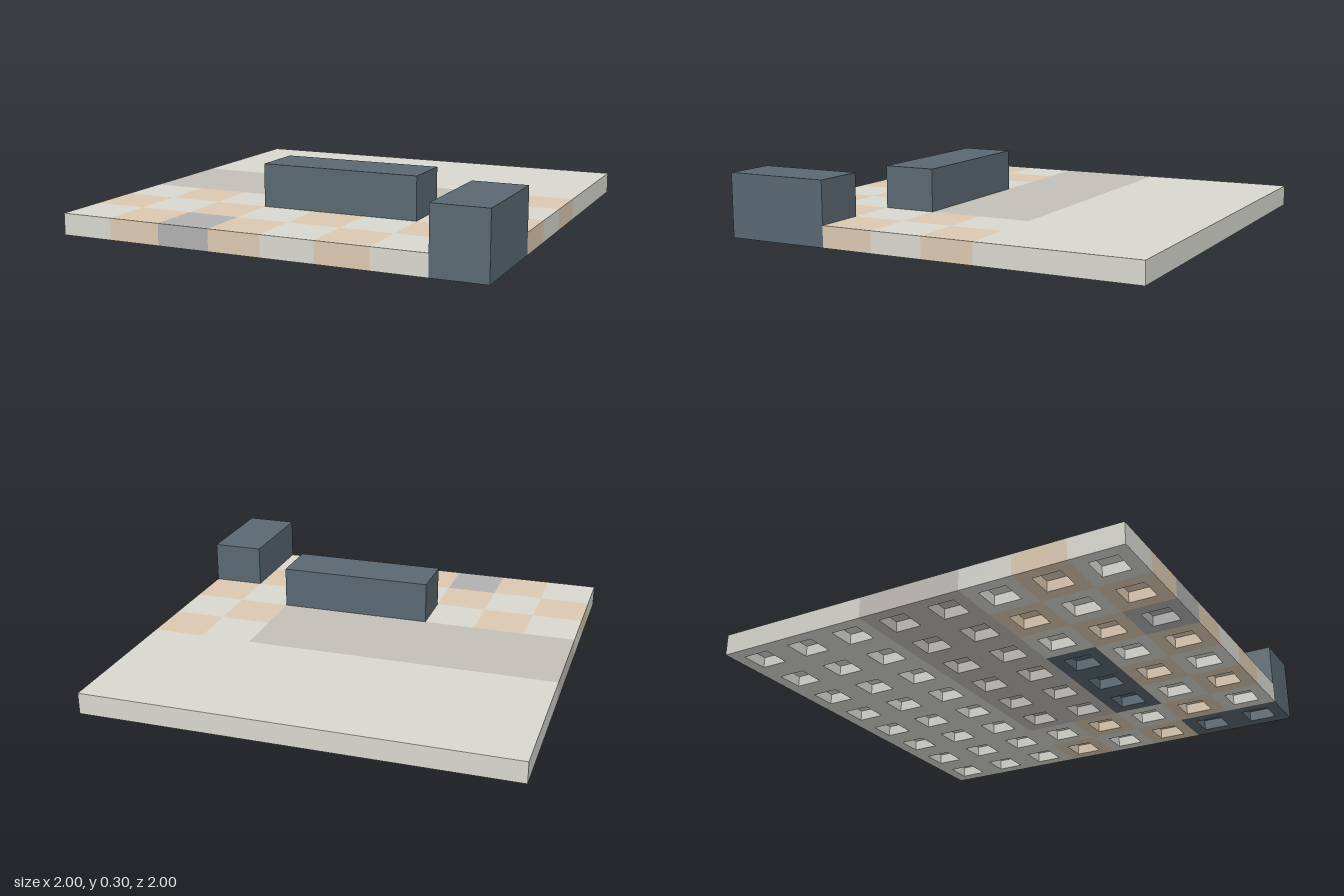
import * as THREE from 'three';
import { mergeGeometries } from 'three/addons/utils/BufferGeometryUtils.js';

const CELL = 0.25, PLATE = 0.1, WALL = 0.3, PIT = 0.13, PIT_DEPTH = 0.05;

const material = (color) => new THREE.MeshStandardMaterial({ color, roughness: 0.9 });

// Box standing on y = 0 without its bottom; inverted, it is a recess seen from inside
function openBox(w, h, d, x, z, inverted = false) {
  const box = new THREE.BoxGeometry(w, h, d).translate(x, h / 2, z);
  const index = Array.from(box.index.array);
  index.splice(18, 6);
  if (inverted) index.reverse();
  box.setIndex(index);
  const flat = box.toNonIndexed();
  flat.computeVertexNormals();
  return flat;
}

// Rectangular block of w x d cells with a square recess under every cell
function brick(col, row, w, d, height) {
  const x0 = -1 + col * CELL, z0 = -1 + row * CELL;
  const width = w * CELL, depth = d * CELL;
  const square = (path, x, y, sx, sy) => {
    path.moveTo(x, y);
    path.lineTo(x + sx, y);
    path.lineTo(x + sx, y + sy);
    path.lineTo(x, y + sy);
    path.closePath();
    return path;
  };
  const underside = square(new THREE.Shape(), x0, z0, width, depth);
  const parts = [openBox(width, height, depth, x0 + width / 2, z0 + depth / 2)];
  for (let i = 0; i < w; i++) {
    for (let j = 0; j < d; j++) {
      const cx = x0 + (i + 0.5) * CELL, cz = z0 + (j + 0.5) * CELL;
      underside.holes.push(square(new THREE.Path(), cx - PIT / 2, cz - PIT / 2, PIT, PIT));
      parts.push(openBox(PIT, PIT_DEPTH, PIT, cx, cz, true));
    }
  }
  // Shape y becomes z, so the face points down
  parts.push(new THREE.ShapeGeometry(underside).rotateX(Math.PI / 2).toNonIndexed());
  return mergeGeometries(parts);
}

export function createModel() {
  const model = new THREE.Group();
  model.name = 'tiledFloor';
  const stone = material(0xd8d8d0), sand = material(0xdcc8b0), path = material(0xc2beb8);
  const grey = material(0xb0b0b0), slate = material(0x5a6872);

  const add = (name, mat, ...dims) => {
    const mesh = new THREE.Mesh(brick(...dims), mat);
    mesh.name = name;
    model.add(mesh);
  };

  // Large slabs and raised walls
  add('backSlab', stone, 0, 0, 8, 3, PLATE);
  add('pathSlab', path, 0, 3, 6, 2, PLATE);
  add('longWall', slate, 3, 5, 3, 1, WALL);
  add('cornerWall', slate, 7, 6, 1, 2, WALL);

  // Single tiles, row by row from z = -0.25 to the front; dots are covered above
  const tiles = { L: ['stoneTile', stone], P: ['sandTile', sand], G: ['greyTile', grey] };
  const rows = ['......LP', '......PL', 'LPL...LP', 'PLPLPLP.', 'LPGPLPL.'];
  rows.forEach((line, r) => {
    [...line].forEach((key, c) => {
      if (tiles[key]) add(...tiles[key], c, r + 3, 1, 1, PLATE);
    });
  });
  return model;
}
